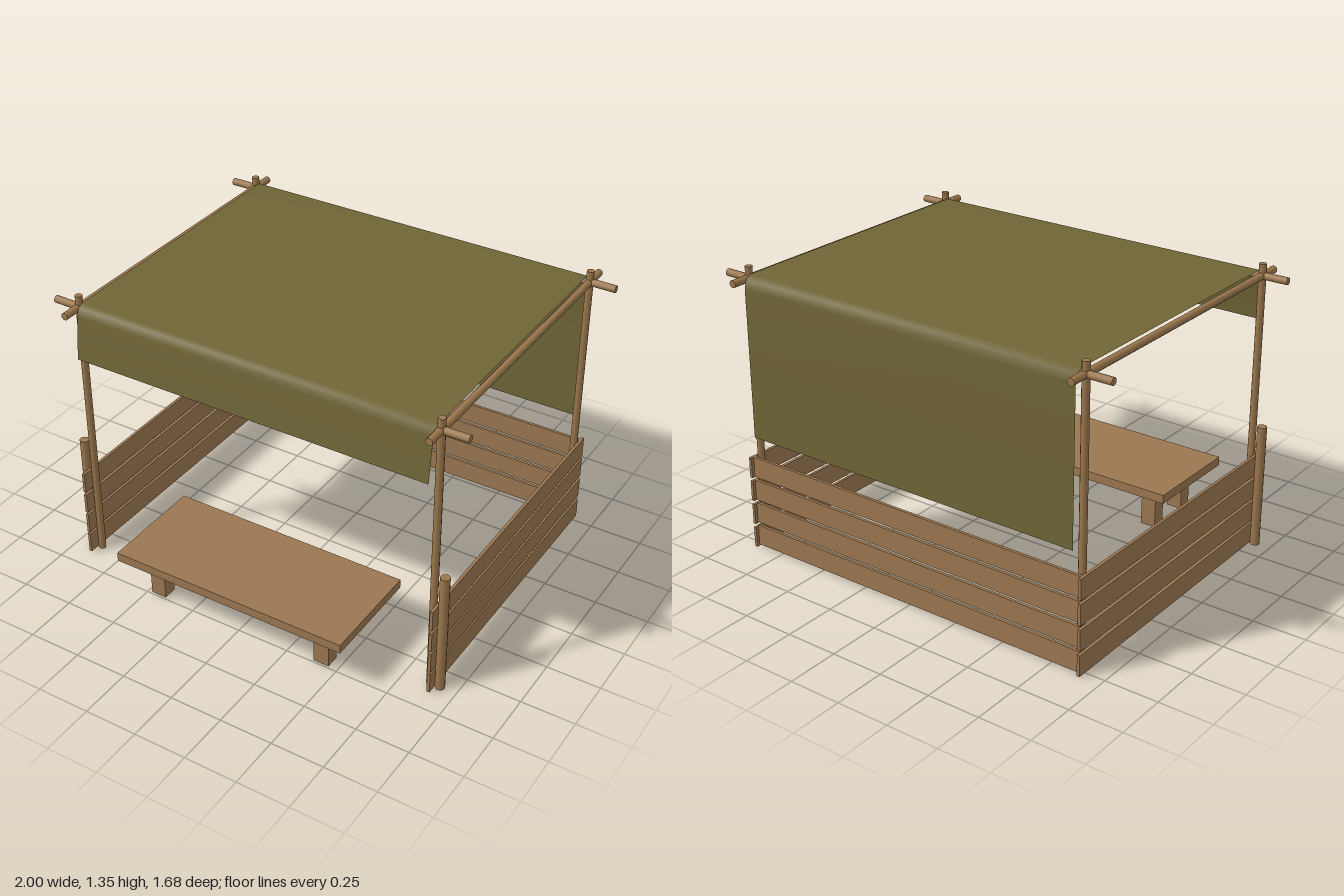
import * as THREE from 'three';

const plankWood = new THREE.MeshStandardMaterial({ name: 'plank wood', color: 0x9b7751 });
const poleWood = new THREE.MeshStandardMaterial({ name: 'pole wood', color: 0x9b774d });
const canvas = new THREE.MeshStandardMaterial({ name: 'olive canvas', color: 0x6f6536, side: THREE.DoubleSide });

export function createModel() {
  const model = new THREE.Group();
  model.name = 'shelter';

  const add = (name, geometry, material, x, y, z) => {
    const mesh = new THREE.Mesh(geometry, material);
    mesh.name = name;
    mesh.position.set(x, y, z);
    model.add(mesh);
    return mesh;
  };
  const box = (name, w, h, d, x, y, z) => add(name, new THREE.BoxGeometry(w, h, d), plankWood, x, y, z);
  const pole = (name, r, length, x, y, z) =>
    add(name, new THREE.CylinderGeometry(r, r, length, 12), poleWood, x, y, z);

  const frontZ = 0.6, backZ = -0.74, railY = 1.305;

  // Upright posts, side rails and the short posts holding the front plank ends
  for (const s of [-1, 1]) {
    for (const z of [frontZ, backZ]) pole('post', 0.017, 1.35, s * 0.875, 0.685, z);
    pole('sideRail', 0.017, 1.54, s * 0.875, railY, -0.07).rotation.x = Math.PI / 2;
    pole('fencePost', 0.022, 0.593, s * 0.922, 0.305, frontZ);
  }

  // Cross rails carrying the canvas
  for (const z of [frontZ, backZ]) pole('crossRail', 0.017, 2, 0, railY, z).rotation.z = Math.PI / 2;

  // Three-sided plank fence, each board very slightly out of level
  const tilts = [0.005, 0.001, -0.003, -0.004];
  tilts.forEach((tilt, i) => {
    const y = 0.062 + i * 0.115;
    for (const s of [-1, 1]) {
      box('sidePlank', 0.014, 0.099, 1.45, s * 0.897, y, -0.065).rotation.x = -s * tilt * -s * -1;
    }
    box('backPlank', 1.78, 0.099, 0.014, 0, y + 0.004, -0.768);
  });

  // Canvas: a single sheet draped over both cross rails, listed back to front as [z, y]
  const profile = [
    [-0.787, 0.57], [-0.786, 0.92], [-0.785, 1.27], [-0.775, 1.31], [-0.745, 1.328],
    [-0.3, 1.328], [0.35, 1.328], [0.6, 1.327], [0.625, 1.315], [0.637, 1.28], [0.66, 1.078],
  ];
  const sheet = new THREE.PlaneGeometry(1.72, 1, 1, profile.length - 1);
  const p = sheet.attributes.position;
  profile.forEach(([z, y], row) => {
    for (let k = 0; k < 2; k++) p.setXYZ(row * 2 + k, p.getX(row * 2 + k), y, z);
  });
  sheet.computeVertexNormals();
  add('canopy', sheet, canvas, 0, 0, 0);

  // Low table
  box('tableTop', 1.155, 0.043, 0.5, -0.003, 0.236, 0.59);
  for (const x of [-0.438, 0.422]) {
    for (const z of [0.48, 0.712]) box('tableLeg', 0.075, 0.2, 0.068, x, 0.115, z);
  }

  return model;
}
